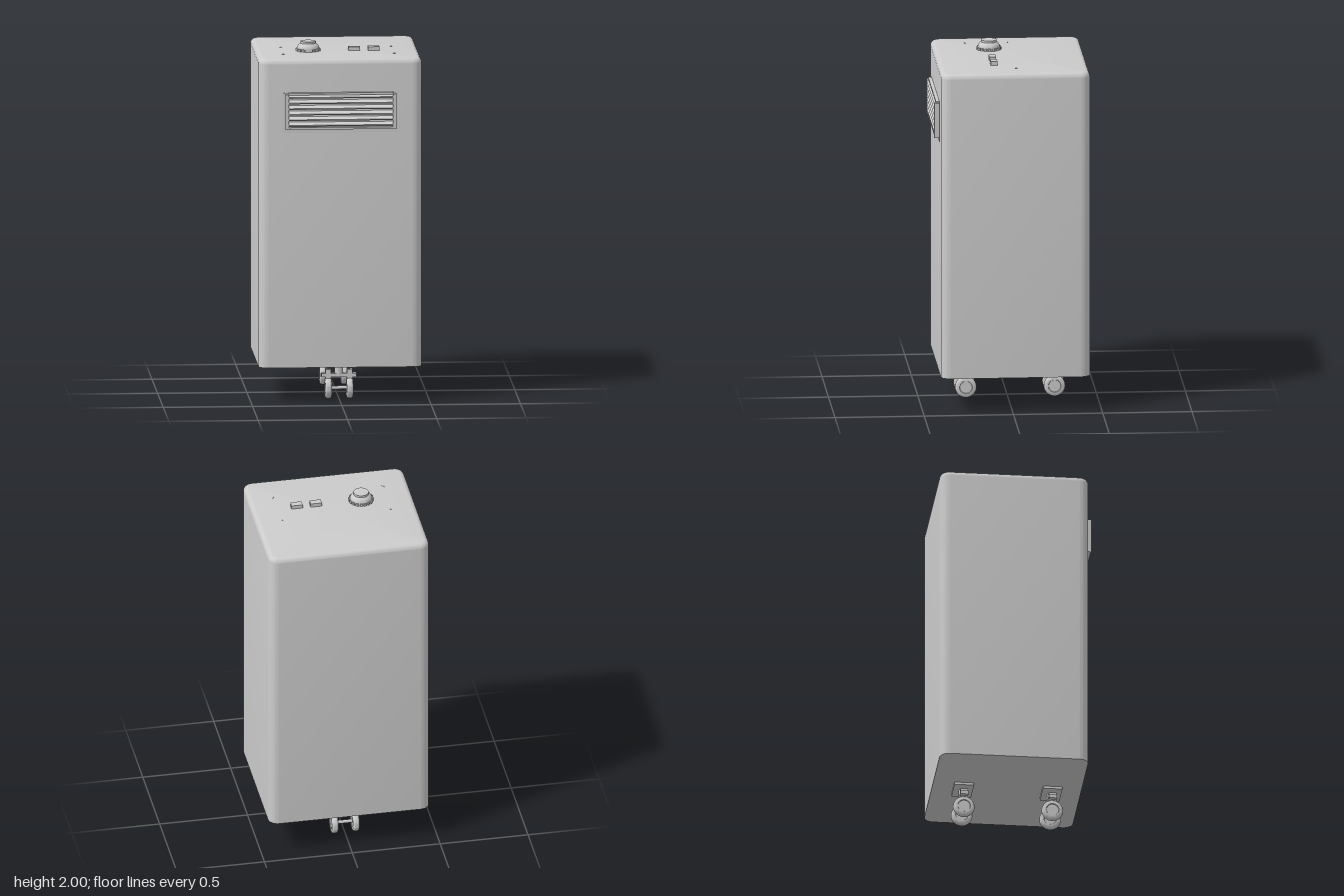
import * as THREE from 'three';
import { toCreasedNormals } from 'three/addons/utils/BufferGeometryUtils.js';

const material = new THREE.MeshStandardMaterial({ color: 0xcccccc });

function add(parent, name, geometry, x = 0, y = 0, z = 0) {
  const mesh = new THREE.Mesh(geometry, material);
  mesh.name = name;
  mesh.position.set(x, y, z);
  parent.add(mesh);
  return mesh;
}

const box = (w, h, d) => new THREE.BoxGeometry(w, h, d);

function lathe(points, segments = 40) {
  const g = new THREE.LatheGeometry(points.map(p => new THREE.Vector2(...p)), segments);
  return toCreasedNormals(g, 0.6);
}

// Rounded-rectangle outline in x/z, moved inward by inset
function outline(w, d, r, inset, steps = 10) {
  const pts = [];
  for (let c = 0; c < 4; c++) {
    const sx = c === 0 || c === 3 ? 1 : -1, sz = c < 2 ? 1 : -1;
    for (let i = 0; i <= steps; i++) {
      const a = (c + i / steps) * Math.PI / 2;
      pts.push([sx * (w / 2 - r) + (r - inset) * Math.cos(a), sz * (d / 2 - r) + (r - inset) * Math.sin(a)]);
    }
  }
  return pts;
}

// Cabinet: square bottom edge, upright rounded corners, softened top edge
function cabinetGeometry(w, d, y0, y1, r, bevel) {
  const rings = [[0, y0]];
  for (let i = 0; i <= 6; i++) {
    const a = i / 6 * Math.PI / 2;
    rings.push([bevel * (1 - Math.cos(a)), y1 - bevel + bevel * Math.sin(a)]);
  }
  const pos = [], idx = [];
  let n = 0;
  for (const [inset, y] of rings) {
    const pts = outline(w, d, r, inset);
    n = pts.length;
    for (const [x, z] of pts) pos.push(x, y, z);
  }
  for (let k = 0; k < rings.length - 1; k++) {
    for (let i = 0; i < n; i++) {
      const a = k * n + i, b = k * n + (i + 1) % n;
      idx.push(a, a + n, b, b, a + n, b + n);
    }
  }
  const bottom = pos.length / 3, top = bottom + 1, last = (rings.length - 1) * n;
  pos.push(0, y0, 0, 0, y1, 0);
  for (let i = 0; i < n; i++) {
    const j = (i + 1) % n;
    idx.push(bottom, i, j, top, last + j, last + i);
  }
  const g = new THREE.BufferGeometry();
  g.setAttribute('position', new THREE.Float32BufferAttribute(pos, 3));
  g.setIndex(idx);
  return toCreasedNormals(g, 0.5);
}

function makeVent() {
  const vent = new THREE.Group();
  vent.name = 'airVent';
  // Thin flush surround
  const surround = new THREE.Shape();
  surround.moveTo(-0.32, 1.53).lineTo(0.32, 1.53).lineTo(0.32, 1.755).lineTo(-0.32, 1.755).closePath();
  const hole = new THREE.Path();
  hole.moveTo(-0.295, 1.555).lineTo(-0.295, 1.745).lineTo(0.295, 1.745).lineTo(0.295, 1.555).closePath();
  surround.holes.push(hole);
  add(vent, 'ventSurround', new THREE.ExtrudeGeometry(surround, { depth: 0.004, bevelEnabled: false }), 0, 0, 0.399);
  for (const s of [-1, 1]) add(vent, 'ventSideRail', box(0.018, 0.2, 0.026), s * 0.301, 1.65, 0.417);
  add(vent, 'ventTopRail', box(0.59, 0.012, 0.02), 0, 1.751, 0.41);
  add(vent, 'ventBottomRail', box(0.59, 0.012, 0.025), 0, 1.557, 0.413);
  // Tilted louvres
  for (let i = 0; i < 6; i++) {
    const slat = add(vent, 'louvre', box(0.585, 0.008, 0.03), 0, 1.58 + i * 0.0315, 0.413);
    slat.rotation.x = 0.5;
  }
  return vent;
}

function makeKnob() {
  const knob = new THREE.Group();
  knob.name = 'controlKnob';
  add(knob, 'knobDome', lathe([[0, 0], [0.062, 0], [0.062, 0.016], [0.06, 0.024], [0.055, 0.033], [0.048, 0.04],
    [0.043, 0.043], [0.043, 0.055], [0, 0.055]]));
  // Grip ridges around the base
  for (let i = 0; i < 18; i++) {
    const a = i / 18 * Math.PI * 2;
    const ridge = add(knob, 'gripRidge', box(0.008, 0.013, 0.015), 0.0655 * Math.cos(a), 0.0075, 0.0655 * Math.sin(a));
    ridge.rotation.y = -a;
  }
  knob.position.set(-0.163, 1.945, 0.09);
  return knob;
}

function makeCaster(z) {
  const caster = new THREE.Group();
  caster.name = 'caster';
  add(caster, 'mountingPlate', box(0.165, 0.014, 0.11), 0, 0.193, 0);
  add(caster, 'swivelStem', new THREE.CylinderGeometry(0.024, 0.024, 0.06, 24), 0, 0.16, 0);
  add(caster, 'crossBar', box(0.196, 0.02, 0.045), 0, 0.133, 0);
  add(caster, 'axle', new THREE.CylinderGeometry(0.01, 0.01, 0.13, 16), 0, 0.06, 0).rotation.z = Math.PI / 2;
  for (const s of [-1, 1]) {
    add(caster, 'forkBlock', box(0.032, 0.05, 0.042), s * 0.06, 0.14, 0);
    // Rounded tyre with a recessed hub
    const wheel = add(caster, 'wheel', lathe([[0, -0.014], [0.034, -0.014], [0.036, -0.018], [0.05, -0.018], [0.056, -0.014],
      [0.06, -0.006], [0.06, 0.006], [0.056, 0.014], [0.05, 0.018], [0.036, 0.018], [0.034, 0.014], [0, 0.014]]), s * 0.06, 0.06, 0);
    wheel.rotation.z = Math.PI / 2;
  }
  caster.position.z = z;
  return caster;
}

// Small triangular corner marks on the lid
function addCornerMarks(parent) {
  const tri = new THREE.Shape();
  tri.moveTo(0, 0).lineTo(0.014, 0).lineTo(0, 0.014).closePath();
  const g = new THREE.ExtrudeGeometry(tri, { depth: 0.002, bevelEnabled: false });
  g.rotateX(-Math.PI / 2);
  const corners = [[-0.318, 0.216, 0], [0.318, 0.216, 1], [0.318, -0.036, 2], [-0.318, -0.036, 3]];
  for (const [x, z, turn] of corners) add(parent, 'cornerMark', g, x, 1.9445, z).rotation.y = turn * Math.PI / 2;
}

export function createModel() {
  const model = new THREE.Group();
  model.name = 'portableAirUnit';
  add(model, 'cabinet', cabinetGeometry(0.914, 0.835, 0.2, 1.945, 0.055, 0.03), 0, 0, -0.0175);
  model.add(makeVent(), makeKnob());
  for (const x of [0.095, 0.204]) add(model, 'button', box(0.064, 0.022, 0.038), x, 1.955, 0.089);
  addCornerMarks(model);
  for (const z of [0.235, -0.262]) model.add(makeCaster(z));
  return model;
}
